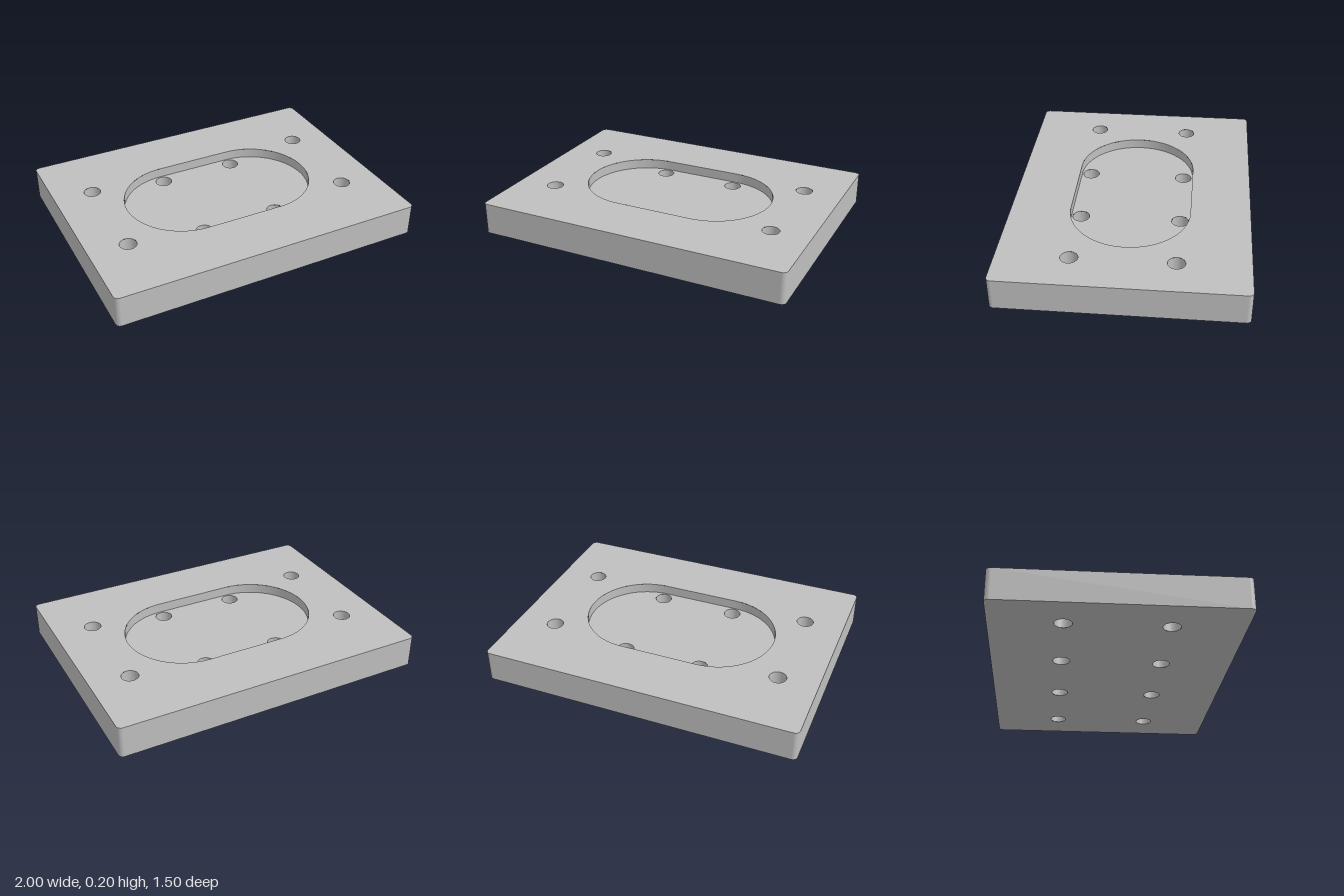
import * as THREE from 'three';

const WIDTH = 2, DEPTH = 1.5, HEIGHT = 0.2;
const FLOOR = 0.1375;     // height of the pocket floor
const CORNER = 0.03, HOLE_R = 0.053, HOLE_Z = 0.3125;
const POCKET_X = 0.25, POCKET_R = 0.375;

const HALF_PI = Math.PI / 2;

// Rounded outline of the plate, counter-clockwise
function plateOutline() {
  const s = new THREE.Shape();
  const x = WIDTH / 2 - CORNER, y = DEPTH / 2 - CORNER;
  [[x, -y], [x, y], [-x, y], [-x, -y]].forEach(([cx, cy], i) =>
    s.absarc(cx, cy, CORNER, (i - 1) * HALF_PI, i * HALF_PI, false));
  s.closePath();
  return s;
}

// Slot-shaped outline of the pocket
function pocketOutline() {
  const s = new THREE.Shape();
  s.absarc(POCKET_X, 0, POCKET_R, -HALF_PI, HALF_PI, false);
  s.absarc(-POCKET_X, 0, POCKET_R, HALF_PI, 3 * HALF_PI, false);
  s.closePath();
  return s;
}

function holeOutline(x, y) {
  const s = new THREE.Shape();
  s.absarc(x, y, HOLE_R, 0, 2 * Math.PI, false);
  return s;
}

// Flat horizontal face with holes, facing up or down
function flatFace(outline, holes, y, up) {
  const s = outline.clone();
  s.holes = holes;
  const g = new THREE.ShapeGeometry(s, 32);
  g.rotateX(up ? -HALF_PI : HALF_PI);
  g.translate(0, y, 0);
  return g;
}

// Vertical wall along an outline, with exact normals taken from its curves
function wall(outline, y0, y1, inward) {
  const pos = [], nor = [], idx = [];
  const side = inward ? -1 : 1;
  for (const curve of outline.curves) {
    const n = curve.isLineCurve ? 1 : 32;
    for (let i = 0; i <= n; i++) {
      const p = curve.getPoint(i / n), t = curve.getTangent(i / n);
      const a = pos.length / 3;
      for (const y of [y0, y1]) {
        pos.push(p.x, y, -p.y);
        nor.push(side * t.y, 0, side * t.x);
      }
      if (i === n) continue;
      if (inward) idx.push(a, a + 1, a + 2, a + 2, a + 1, a + 3);
      else idx.push(a, a + 2, a + 1, a + 2, a + 3, a + 1);
    }
  }
  const g = new THREE.BufferGeometry();
  g.setAttribute('position', new THREE.Float32BufferAttribute(pos, 3));
  g.setAttribute('normal', new THREE.Float32BufferAttribute(nor, 3));
  g.setIndex(idx);
  return g;
}

export function createModel() {
  const group = new THREE.Group();
  group.name = 'mountingPlate';
  const metal = new THREE.MeshStandardMaterial({ color: 0xbfbfbf });
  metal.name = 'light grey metal';
  const add = (name, geometry) => {
    const mesh = new THREE.Mesh(geometry, metal);
    mesh.name = name;
    group.add(mesh);
  };

  const plate = plateOutline(), pocket = pocketOutline();
  const outerHoles = [], pocketHoles = [];
  for (const sx of [-1, 1]) for (const sy of [-1, 1]) {
    outerHoles.push(holeOutline(sx * 0.75, sy * HOLE_Z));
    pocketHoles.push(holeOutline(sx * 0.25, sy * HOLE_Z));
  }

  // Plate faces and rim
  add('topFace', flatFace(plate, [pocket, ...outerHoles], HEIGHT, true));
  add('bottomFace', flatFace(plate, [...outerHoles, ...pocketHoles], 0, false));
  add('outerWall', wall(plate, 0, HEIGHT, false));

  // Recessed pocket
  add('pocketFloor', flatFace(pocket, pocketHoles, FLOOR, true));
  add('pocketWall', wall(pocket, FLOOR, HEIGHT, true));

  // Through holes
  outerHoles.forEach((h) => add('outerHole', wall(h, 0, HEIGHT, true)));
  pocketHoles.forEach((h) => add('pocketHole', wall(h, 0, FLOOR, true)));
  return group;
}
